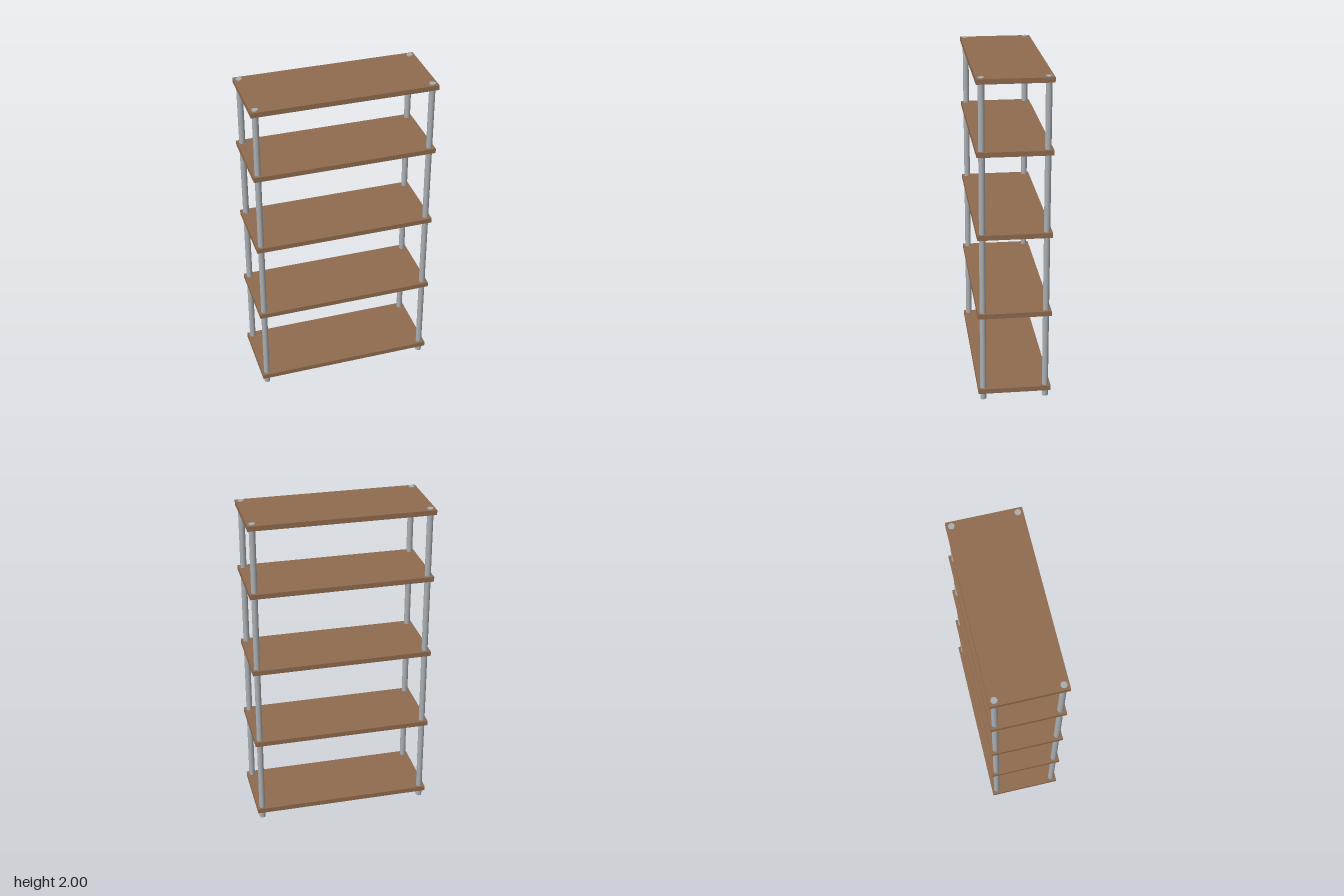
import * as THREE from 'three';

export function createModel() {
  const model = new THREE.Group();
  model.name = 'shelvingUnit';

  const wood = new THREE.MeshStandardMaterial({ color: 0x8f6b4e });
  wood.name = 'brown wood';
  const metal = new THREE.MeshStandardMaterial({ color: 0xa9aeb2 });
  metal.name = 'grey metal';

  // Five flat boards; the top one sits just below the pole ends
  const boardGeometry = new THREE.BoxGeometry(1.104, 0.03, 0.44);
  [0.06, 0.56, 1.06, 1.56, 1.98].forEach((y, i) => {
    const shelf = new THREE.Mesh(boardGeometry, wood);
    shelf.name = `shelf${i + 1}`;
    shelf.position.y = y;
    model.add(shelf);
  });

  // Four round corner poles running through every board
  const poleGeometry = new THREE.CylinderGeometry(0.0185, 0.0185, 2, 32);
  for (const [side, x] of [['Left', 0.521], ['Right', -0.521]]) {
    for (const [end, z] of [['front', 0.189], ['back', -0.189]]) {
      const pole = new THREE.Mesh(poleGeometry, metal);
      pole.name = `${end}${side}Pole`;
      pole.position.set(x, 1, z);
      model.add(pole);
    }
  }

  return model;
}
